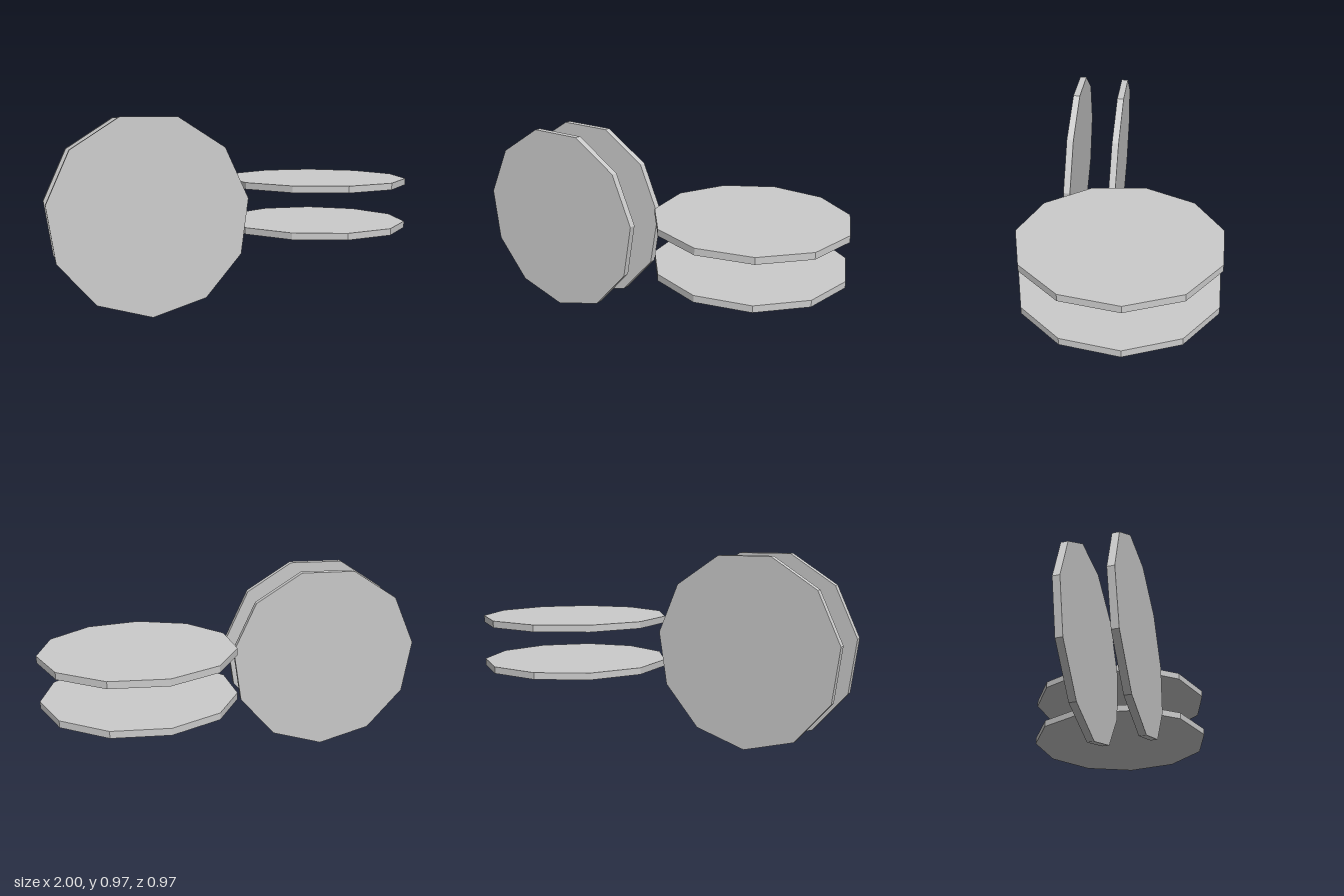
import * as THREE from 'three';

const SIDES = 11, RADIUS = 0.493, THICKNESS = 0.0345, SPACING = 0.2355;
const deg = THREE.MathUtils.degToRad;

// Two parallel eleven-sided discs sharing the local y axis
function discPair(name, turn, material) {
  const pair = new THREE.Group();
  pair.name = name;
  const geometry = new THREE.CylinderGeometry(RADIUS, RADIUS, THICKNESS, SIDES, 1, false, deg(turn));
  for (const [label, s] of [['Outer', 1], ['Inner', -1]]) {
    const disc = new THREE.Mesh(geometry, material);
    disc.name = name + label + 'Disc';
    disc.position.y = s * SPACING / 2;
    pair.add(disc);
  }
  return pair;
}

export function createModel() {
  const model = new THREE.Group();
  model.name = 'discPairs';
  const material = new THREE.MeshStandardMaterial({ color: 0xcccccc, flatShading: true });

  // Level pair on the left
  const level = discPair('level', 181.1, material);
  level.position.set(0.509, 0.498, 0);
  model.add(level);

  // Upright pair on the right, turned outwards and leaning slightly back
  const upright = discPair('upright', 0, material);
  upright.rotation.order = 'YXZ';
  upright.rotation.set(deg(90 - 1.85), deg(-12.8), 0);
  upright.position.set(-0.495, 0.498, -0.0135);
  model.add(upright);

  return model;
}
